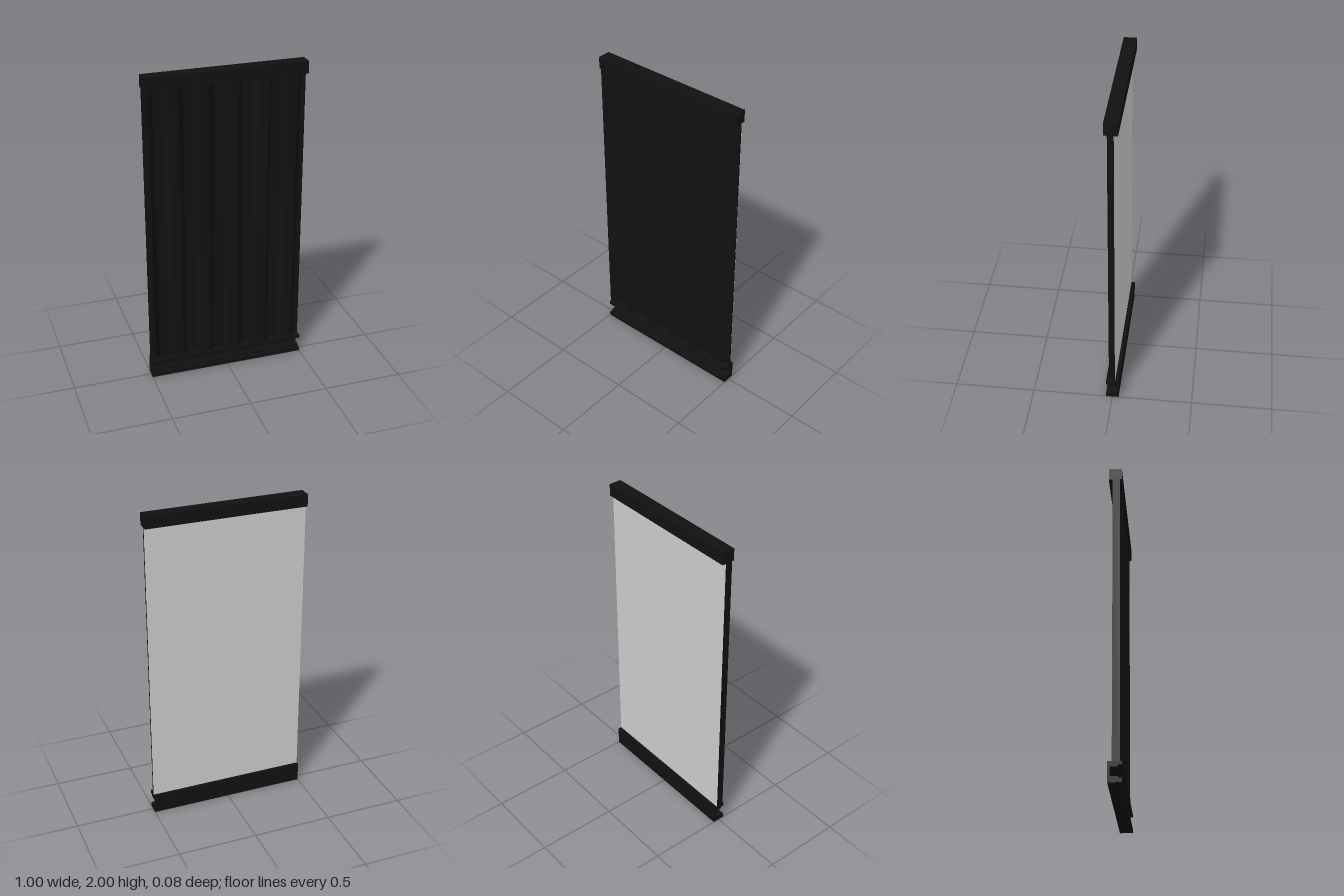
import * as THREE from 'three';

const WIDTH = 1;
const PANEL_BOTTOM = 0.12, PANEL_TOP = 1.925;
const RIDGE_Z = 0.028, VALLEY_Z = -0.004, BACK_Z = -0.016;

const black = new THREE.MeshStandardMaterial({ color: 0x111111, flatShading: true });
const grey = new THREE.MeshStandardMaterial({ color: 0xcccccc, side: THREE.DoubleSide });

function addMesh(group, name, geometry, material) {
  const mesh = new THREE.Mesh(geometry, material);
  mesh.name = name;
  group.add(mesh);
  return mesh;
}

function extrude(points, depth) {
  const shape = new THREE.Shape(points.map(([x, y]) => new THREE.Vector2(x, y)));
  return new THREE.ExtrudeGeometry(shape, { depth, bevelEnabled: false });
}

// Trapezoid corrugation: eleven slopes from a ridge at -x to a valley at +x
function corrugatedPanel() {
  const slopes = 11, pitch = WIDTH / slopes, half = 0.016;
  const points = [[-WIDTH / 2, RIDGE_Z]];
  for (let i = 0; i < slopes; i++) {
    const x = -WIDTH / 2 + (i + 0.5) * pitch;
    const [from, to] = i % 2 === 0 ? [RIDGE_Z, VALLEY_Z] : [VALLEY_Z, RIDGE_Z];
    points.push([x - half, from], [x + half, to]);
  }
  points.push([WIDTH / 2, VALLEY_Z], [WIDTH / 2, BACK_Z], [-WIDTH / 2, BACK_Z]);
  // Shape y holds z; stand the extrusion upright
  const geometry = extrude(points.map(([x, z]) => [x, -z]), PANEL_TOP - PANEL_BOTTOM);
  geometry.rotateX(-Math.PI / 2);
  geometry.translate(0, PANEL_BOTTOM, 0);
  return geometry;
}

// Channel open to the front, with stepped upper and lower flanges
function bottomChannel() {
  const profile = [
    [-0.04, 0], [0.04, 0], [0.04, 0.025], [0.018, 0.025], [0.018, 0.036], [-0.027, 0.036],
    [-0.027, 0.088], [0.018, 0.088], [0.018, 0.1], [0.04, 0.1], [0.04, 0.12], [-0.04, 0.12],
  ];
  const geometry = extrude(profile.map(([z, y]) => [-z, y]), WIDTH);
  geometry.rotateY(Math.PI / 2);
  geometry.translate(-WIDTH / 2, 0, 0);
  return geometry;
}

export function createModel() {
  const model = new THREE.Group();
  model.name = 'corrugatedWallPanel';

  // Rails at top and bottom
  const topHeight = 2 - PANEL_TOP;
  const rail = addMesh(model, 'topRail', new THREE.BoxGeometry(WIDTH, topHeight, 0.08), black);
  rail.position.y = 2 - topHeight / 2;
  addMesh(model, 'bottomChannel', bottomChannel(), black);

  // Corrugated front and flat lining on the back
  addMesh(model, 'corrugatedSheet', corrugatedPanel(), black);
  const height = PANEL_TOP - PANEL_BOTTOM;
  const lining = addMesh(model, 'backLining', new THREE.PlaneGeometry(WIDTH, height), grey);
  lining.rotation.y = Math.PI;
  lining.position.set(0, PANEL_BOTTOM + height / 2, BACK_Z - 0.001);

  return model;
}
